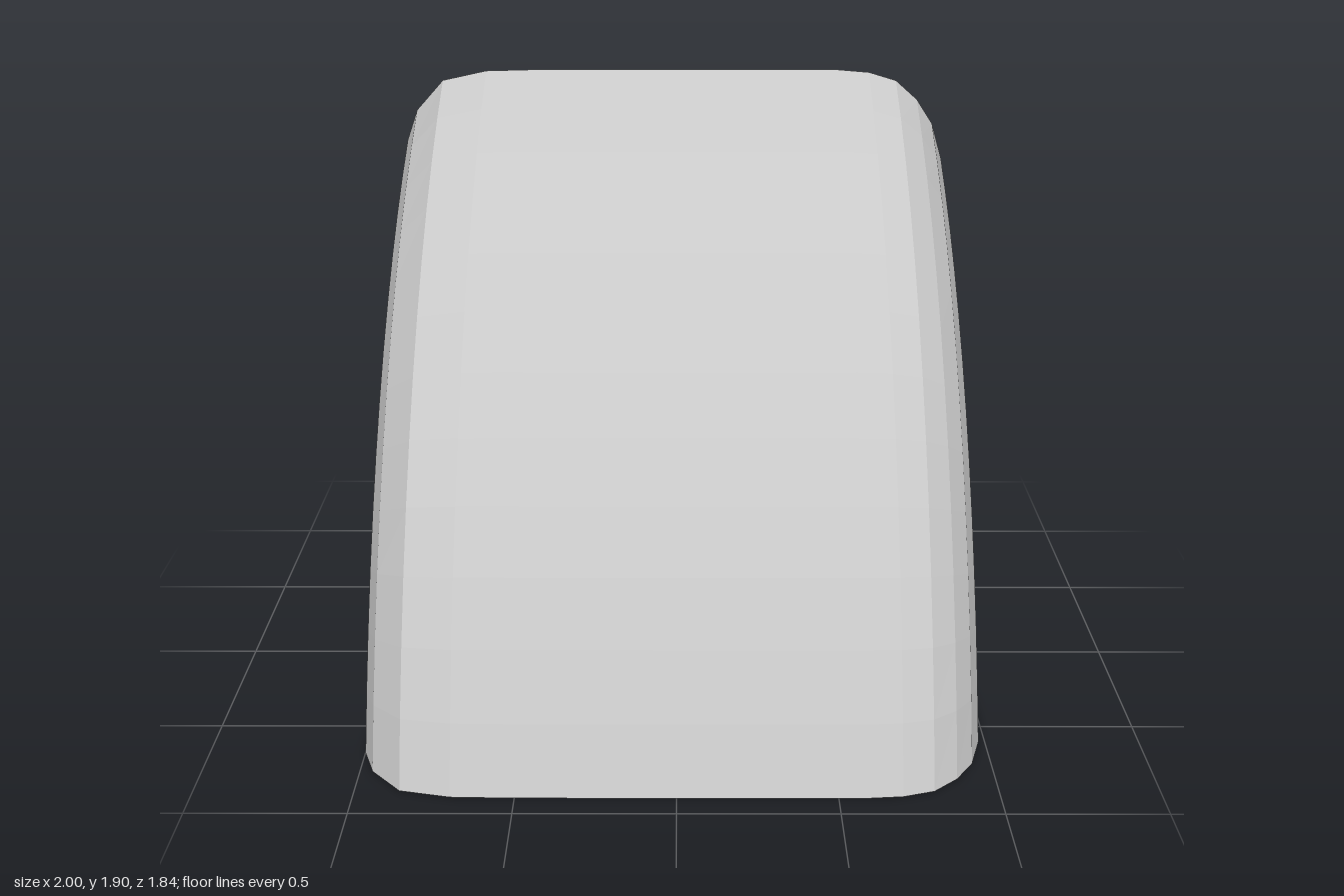
import * as THREE from 'three';

// Sweep axis runs along x through (AY, AZ); the body is cut by y = 0 and z = BACK
const AY = -1.37, AZ = -2.4, BACK = -0.92, ROWS = 12;

// Back outline [x, y] from the right bottom corner over the top to the left one;
// straight = flat taper edge instead of an arc
const PROFILE = [
  { x: -0.73, y: 0 },
  { x: -1, y: 0.86, straight: true },
  { x: -1, y: 1.64 }, { x: -0.96, y: 1.75 }, { x: -0.86, y: 1.86 }, { x: -0.7, y: 1.895 }, { x: -0.5, y: 1.9 },
  { x: 0.58, y: 1.9 }, { x: 0.7, y: 1.89 }, { x: 0.8, y: 1.86 }, { x: 0.88, y: 1.79 }, { x: 0.94, y: 1.7 },
  { x: 0.98, y: 1.57 }, { x: 1, y: 1.42 },
  { x: 1, y: 1.02, straight: true },
  { x: 0.98, y: 0.93, straight: true },
  { x: 0.69, y: 0 },
];

// Point on one profile line, t = 0 at the base and 1 at the back
function sweepPoint({ x, y, straight }, t) {
  if (y === 0) return [x, 0, BACK];
  const r = Math.hypot(BACK - AZ, y - AY);
  const a0 = Math.asin(-AY / r), a1 = Math.acos((BACK - AZ) / r);
  if (straight) return [x, t * y, THREE.MathUtils.lerp(AZ + r * Math.cos(a0), BACK, t)];
  const a = THREE.MathUtils.lerp(a0, a1, t);
  return [x, AY + r * Math.sin(a), AZ + r * Math.cos(a)];
}

function facetedMesh(name, points, material) {
  const geometry = new THREE.BufferGeometry();
  geometry.setAttribute('position', new THREE.Float32BufferAttribute(points.flat(), 3));
  geometry.computeVertexNormals();
  const mesh = new THREE.Mesh(geometry, material);
  mesh.name = name;
  return mesh;
}

export function createModel() {
  const group = new THREE.Group();
  group.name = 'curvedBlock';
  const grey = new THREE.MeshStandardMaterial({ color: 0xc8c8c8 });
  grey.name = 'light grey';

  const rows = [];
  for (let i = 0; i <= ROWS; i++) rows.push(PROFILE.map((p) => sweepPoint(p, i / ROWS)));
  const last = PROFILE.length - 1;

  // Curved front, rounded shoulders and sides
  const shell = [];
  for (let j = 1; j < last - 1; j++) {
    for (let i = 0; i < ROWS; i++) {
      const a = rows[i][j], b = rows[i][j + 1], c = rows[i + 1][j + 1], d = rows[i + 1][j];
      shell.push(a, b, c, a, c, d);
    }
  }
  group.add(facetedMesh('curvedShell', shell, grey));

  // Flat triangular tapers to the two bottom back corners
  const bottom = rows[0], top = rows[ROWS];
  group.add(facetedMesh('rightTaper', [bottom[0], bottom[1], top[1]], grey));
  group.add(facetedMesh('leftTaper', [bottom[last], top[last - 1], bottom[last - 1]], grey));

  // Flat back and base
  const back = [], base = [];
  for (let j = 1; j < last; j++) {
    back.push(top[0], top[j], top[j + 1]);
    base.push(bottom[0], bottom[j + 1], bottom[j]);
  }
  group.add(facetedMesh('backFace', back, grey));
  group.add(facetedMesh('baseFace', base, grey));
  return group;
}
